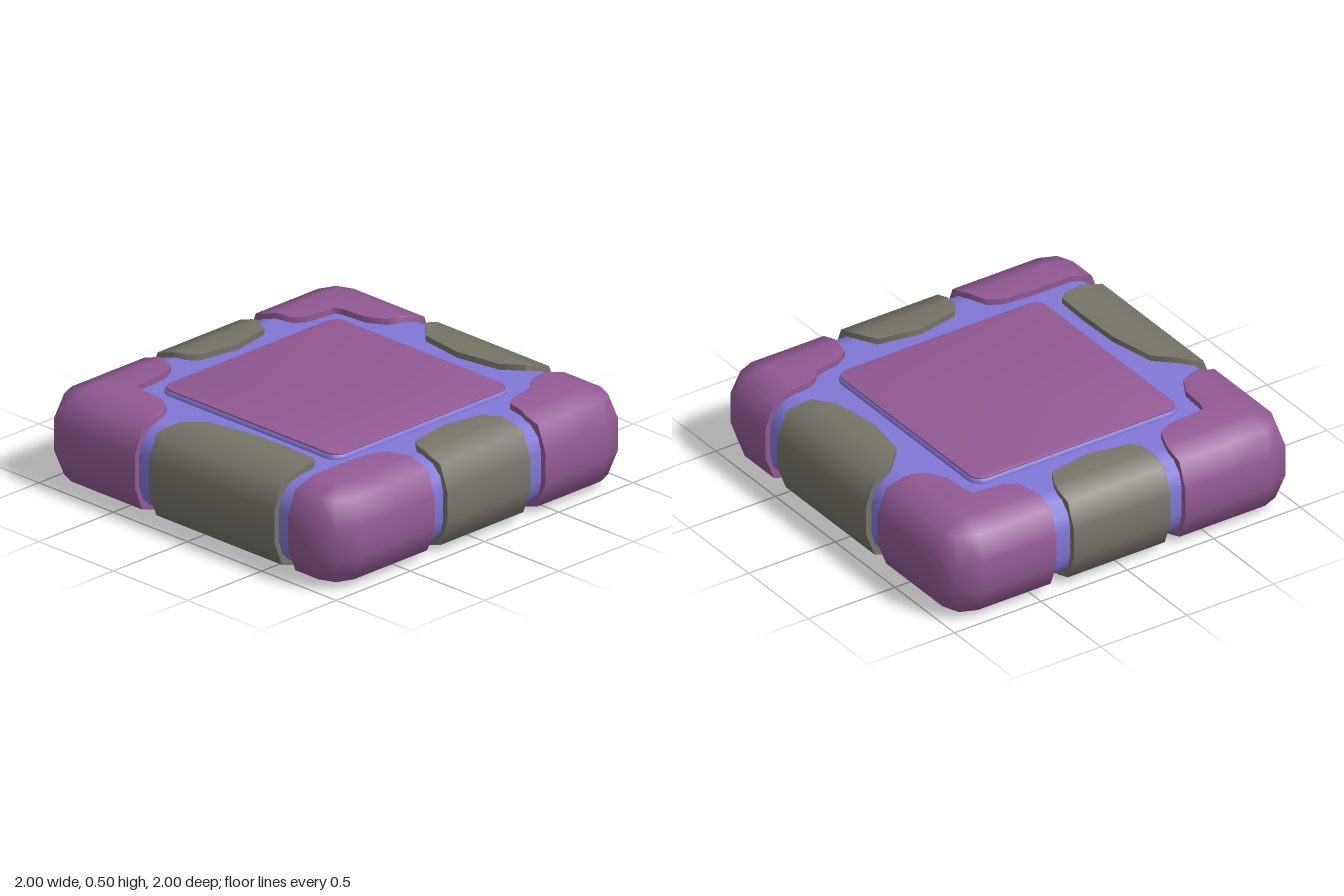
import * as THREE from 'three';
import { mergeVertices, toCreasedNormals } from 'three/addons/utils/BufferGeometryUtils.js';

const MID = 0.2525, HALF = 0.2475;

const mat = (name, color) => {
  const m = new THREE.MeshStandardMaterial({ color });
  m.name = name;
  return m;
};

// Half height of a stone at a distance in from the outer edge
function halfHeight(d) {
  if (d >= 0.17) return HALF;
  return d < 0.05 ? 0.08 + d * 2.6 : 0.21 + (d - 0.05) / 0.12 * (HALF - 0.21);
}

// Closed stone lofted through stations; each station is four plan points, outer to inner, as [p, q, halfHeight]
function loft(stations, toPlan) {
  const pos = [], idx = [], n = 8;
  for (const st of stations) {
    const loop = [...st.slice().reverse().map(p => [p, 1]), ...st.map(p => [p, -1])];
    for (const [[p, q, h], s] of loop) {
      const [x, z] = toPlan(p, q);
      pos.push(x, MID + s * h, z);
    }
  }
  for (let i = 0; i < stations.length - 1; i++) {
    for (let j = 0; j < n; j++) {
      const a = i * n + j, b = i * n + (j + 1) % n;
      idx.push(a, b, b + n, a, b + n, a + n);
    }
  }
  const last = (stations.length - 1) * n;
  for (let j = 1; j < n - 1; j++) idx.push(0, j + 1, j, last, last + j, last + j + 1);

  // Turn the faces outward for mirrored stones
  const v = i => new THREE.Vector3().fromArray(pos, i * 3);
  let volume = 0;
  for (let i = 0; i < idx.length; i += 3) volume += v(idx[i]).dot(v(idx[i + 1]).cross(v(idx[i + 2])));
  if (volume < 0) idx.reverse();

  const g = new THREE.BufferGeometry();
  g.setAttribute('position', new THREE.Float32BufferAttribute(pos, 3));
  g.setIndex(idx);
  return toCreasedNormals(g, 1.1);
}

// Station running straight in from an edge at position s to depth d
const straight = (s, d) => [0, 0.05, 0.17, d].map(t => [s, Math.min(t, d), halfHeight(Math.min(t, d))]);

// Corner stone: a and b are distances in from the two outer sides
function cornerStone(sx, sz, endLeg, inner, sideLeg) {
  const swap = st => st.map(([p, q, h]) => [q, p, h]);
  const I = [...inner, HALF], C = [0.17, 0.17, HALF];
  const bend = [
    [[0.17, 0, 0.08], [0.17, 0.05, 0.21], C, I],
    [[0.05, 0.05, 0.08], [0.085, 0.085, 0.21], C, I],
    [[0, 0.17, 0.08], [0.05, 0.17, 0.21], C, I],
  ];
  const stations = [
    ...endLeg.map(([a, b]) => straight(a, b)),
    ...bend,
    ...sideLeg.map(([a, b]) => swap(straight(b, a))),
  ];
  return loft(stations, (a, b) => [sx * (1 - a), sz * (1 - b)]);
}

// Square outline with rounded corners
function roundedSquare(h, r) {
  const s = new THREE.Shape(), k = h - r;
  [[1, 1], [-1, 1], [-1, -1], [1, -1]].forEach(([x, y], i) =>
    s.absarc(x * k, y * k, r, i * Math.PI / 2, (i + 1) * Math.PI / 2, false));
  return s;
}

// Flat bevelled slab between two heights
function slab(half, radius, y0, y1, bevel, segments) {
  const g = new THREE.ExtrudeGeometry(roundedSquare(half - bevel, radius), {
    depth: y1 - y0 - 2 * bevel, bevelEnabled: true, bevelSize: bevel,
    bevelThickness: bevel, bevelSegments: segments, curveSegments: 5,
  });
  g.rotateX(-Math.PI / 2).translate(0, y0 + bevel, 0);
  g.deleteAttribute('uv');
  g.deleteAttribute('normal');
  return toCreasedNormals(mergeVertices(g, 1e-4), 0.9);
}

export function createModel() {
  const purple = mat('purple stone', 0x935a95);
  const grey = mat('grey stone', 0x777469);
  const blue = mat('blue mortar', 0x8177d6);
  const group = new THREE.Group();
  const add = (name, geometry, material) => {
    const m = new THREE.Mesh(geometry, material);
    m.name = name;
    group.add(m);
  };

  // Mortar core and the two flat panels
  add('mortarCore', slab(0.97, 0.1, MID - 0.217, MID + 0.217, 0.14, 3), blue);
  add('topPanelRim', slab(0.598, 0.06, 0.44, 0.493, 0.012, 2), blue);
  add('topPanel', slab(0.59, 0.06, 0.488, 0.5, 0.003, 1), purple);
  add('bottomPanel', slab(0.59, 0.06, 0, 0.06, 0.012, 2), grey);

  // Corner stones
  const longLeg = [[0.645, 0.14], [0.63, 0.2], [0.6, 0.26], [0.51, 0.31], [0.37, 0.32]];
  const backSide = [[0.325, 0.37], [0.31, 0.5], [0.27, 0.56], [0.17, 0.58], [0.14, 0.59]];
  const frontSide = [[0.325, 0.37], [0.31, 0.55], [0.27, 0.62], [0.17, 0.66], [0.14, 0.665]];
  add('backRightCorner', cornerStone(-1, -1, longLeg, [0.33, 0.335], backSide), purple);
  add('frontRightCorner', cornerStone(-1, 1, longLeg, [0.33, 0.335], frontSide), purple);
  add('backLeftCorner', cornerStone(1, -1, [[0.415, 0.2], [0.405, 0.27], [0.38, 0.315]], [0.345, 0.345],
    [[0.33, 0.39], ...backSide.slice(1)]), purple);
  add('frontLeftCorner', cornerStone(1, 1, [[0.325, 0.36]], [0.324, 0.37],
    [[0.323, 0.42], ...frontSide.slice(1)]), purple);

  // Edge stones: position along the side and depth inward
  const backEdge = [[-0.26, 0.12], [-0.23, 0.17], [-0.13, 0.265], [0.115, 0.3], [0.36, 0.26], [0.46, 0.18], [0.485, 0.1]];
  const frontEdge = [[-0.26, 0.1], [-0.22, 0.17], [-0.13, 0.265], [0.11, 0.315], [0.36, 0.322], [0.54, 0.315], [0.57, 0.28], [0.585, 0.18]];
  const sideEdge = [[-0.31, 0.13], [-0.3, 0.18], [-0.25, 0.27], [-0.03, 0.31], [0.195, 0.27], [0.235, 0.22], [0.25, 0.13]];
  const stations = list => list.map(([s, d]) => straight(s, d));
  add('backEdgeStone', loft(stations(backEdge), (s, d) => [s, d - 1]), grey);
  add('frontEdgeStone', loft(stations(frontEdge), (s, d) => [s, 1 - d]), grey);
  for (const side of [-1, 1]) {
    add(side > 0 ? 'leftEdgeStone' : 'rightEdgeStone',
      loft(stations(sideEdge), (s, d) => [side * (1 - d), s]), grey);
  }
  return group;
}
